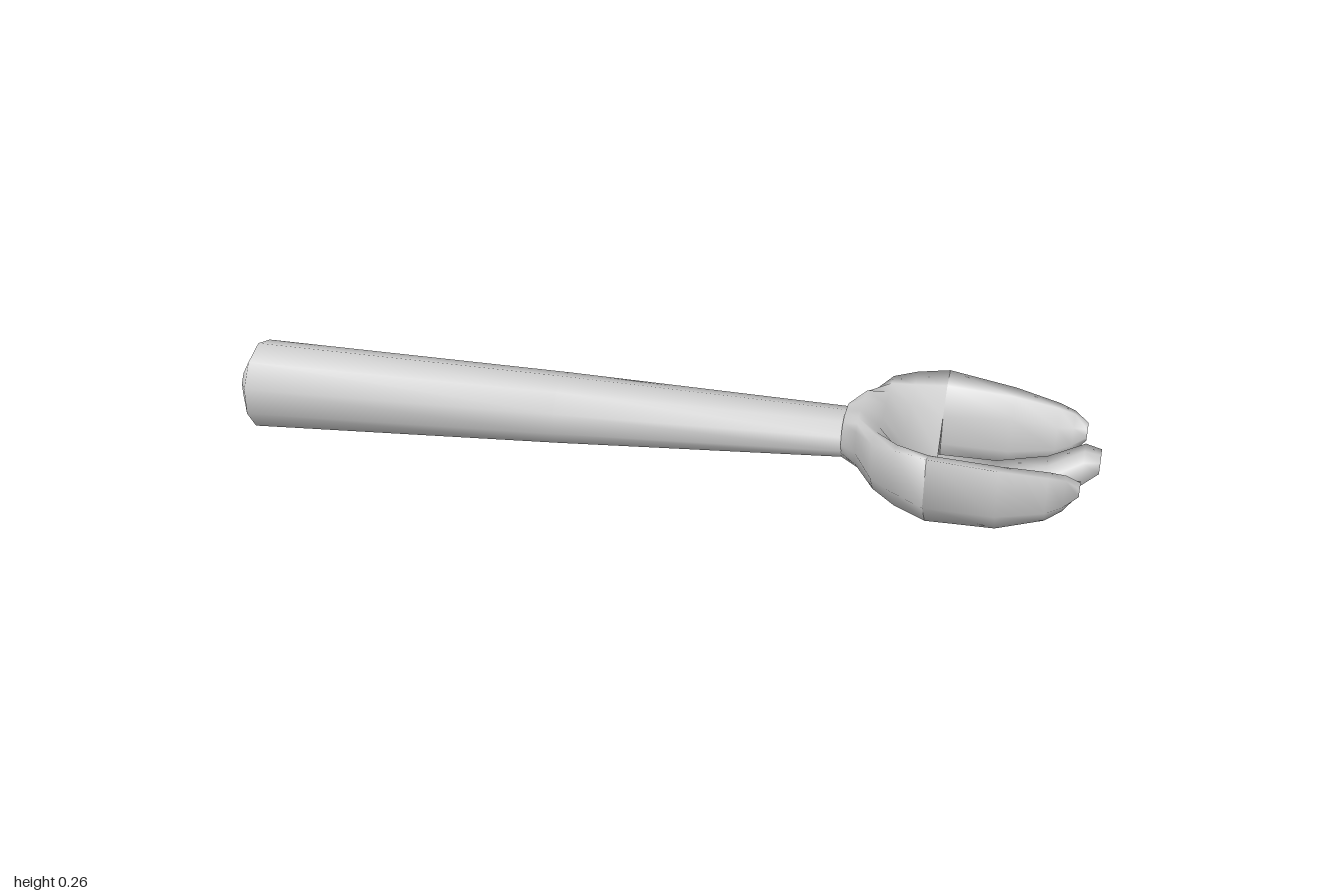
import * as THREE from 'three';

const material = new THREE.MeshStandardMaterial({ color: 0xcccccc, side: THREE.DoubleSide });

// Skin a row of [x, loop] sections; each loop is a list of [z, y] points.
function loft(name, sections, capStart, capEnd) {
  const positions = [], index = [];
  const n = sections[0][1].length;
  const addLoop = ([x, loop]) => {
    const base = positions.length / 3;
    loop.forEach(([z, y]) => positions.push(x, y, z));
    return base;
  };
  sections.forEach(addLoop);
  for (let i = 0; i < sections.length - 1; i++) {
    for (let j = 0; j < n; j++) {
      const k = (j + 1) % n, a = i * n, c = a + n;
      index.push(a + j, c + j, a + k, a + k, c + j, c + k);
    }
  }
  // Flat end caps with their own vertices
  const cap = (section, facing) => {
    const base = addLoop(section);
    const pts = section[1].map(([z, y]) => new THREE.Vector2(z, y));
    for (const [a, b, c] of THREE.ShapeUtils.triangulateShape(pts, [])) {
      const area = (pts[b].x - pts[a].x) * (pts[c].y - pts[a].y) - (pts[b].y - pts[a].y) * (pts[c].x - pts[a].x);
      // counter-clockwise in (z, y) faces -x
      if ((area > 0) === (facing < 0)) index.push(base + a, base + b, base + c);
      else index.push(base + a, base + c, base + b);
    }
  };
  if (capStart) cap(sections[0], -1);
  if (capEnd) cap(sections[sections.length - 1], 1);
  const geometry = new THREE.BufferGeometry();
  geometry.setAttribute('position', new THREE.Float32BufferAttribute(positions, 3));
  geometry.setIndex(index);
  geometry.computeVertexNormals();
  const mesh = new THREE.Mesh(geometry, material);
  mesh.name = name;
  return mesh;
}

// Ten-sided ring with a corner at the bottom
function ring(bottom, top, halfWidth) {
  return Array.from({ length: 10 }, (_, i) => {
    const a = (i / 10) * Math.PI * 2;
    return [Math.sin(a) * halfWidth, (bottom + top) / 2 - Math.cos(a) * (top - bottom) / 2];
  });
}

// Complete a half loop that runs from bottom centre to top centre
const mirrorHalf = (half) => [...half, ...half.slice(1, -1).reverse().map(([z, y]) => [-z, y])];

export function createModel() {
  const group = new THREE.Group();
  group.name = 'threeTinedSpoon';

  // Tapering handle with a domed end
  group.add(loft('handle', [
    [-1, ring(0.105, 0.115, 0.005)],
    [-0.985, ring(0.068, 0.152, 0.04)],
    [-0.95, ring(0.004, 0.216, 0.1)],
    [-0.2, ring(0.071, 0.234, 0.083)],
    [0.47, ring(0.135, 0.243, 0.06)],
  ], true, true));

  // Scooped palm: a round neck opening into a deep U
  const palmEnd = [[0, 0.013], [0.07, 0.045], [0.12, 0.063], [0.2, 0.145], [0.2, 0.264],
    [0.155, 0.248], [0.115, 0.19], [0.07, 0.12], [0, 0.1]];
  group.add(loft('palm', [
    [0.45, [[0, 0.134], [0.035, 0.143], [0.055, 0.165], [0.061, 0.19], [0.056, 0.22],
      [0.045, 0.235], [0.03, 0.243], [0.015, 0.245], [0, 0.245]]],
    [0.485, [[0, 0.118], [0.04, 0.126], [0.065, 0.147], [0.082, 0.185], [0.085, 0.24],
      [0.075, 0.255], [0.062, 0.263], [0.03, 0.262], [0, 0.258]]],
    [0.53, [[0, 0.078], [0.05, 0.09], [0.095, 0.11], [0.15, 0.17], [0.155, 0.256],
      [0.115, 0.259], [0.09, 0.25], [0.05, 0.24], [0, 0.235]]],
    [0.58, [[0, 0.045], [0.06, 0.063], [0.11, 0.085], [0.175, 0.158], [0.178, 0.262],
      [0.135, 0.252], [0.1, 0.22], [0.06, 0.185], [0, 0.175]]],
    [0.65, palmEnd],
  ].map(([x, half]) => [x, mirrorHalf(half)]), true, true));

  // Middle tine, keeled below and curling upward
  group.add(loft('middleTine', [
    [0.65, [palmEnd[0], palmEnd[1], palmEnd[7], palmEnd[8]]],
    [0.78, [[0, 0.034], [0.063, 0.067], [0.06, 0.13], [0, 0.125]]],
    [0.89, [[0, 0.08], [0.053, 0.105], [0.05, 0.165], [0, 0.168]]],
    [0.965, [[0, 0.142], [0.041, 0.155], [0.042, 0.212], [0, 0.217]]],
    [1, [[0, 0.178], [0.028, 0.182], [0.03, 0.21], [0, 0.212]]],
  ].map(([x, half]) => [x, mirrorHalf(half)]), false, true));

  // Side tines, curling up and inward
  const sideTine = [
    [0.65, [palmEnd[2], palmEnd[3], palmEnd[4], palmEnd[5], palmEnd[6], [0.117, 0.12]]],
    [0.8, [[0.13, 0.075], [0.181, 0.135], [0.185, 0.249], [0.153, 0.243], [0.125, 0.2], [0.121, 0.12]]],
    [0.9, [[0.124, 0.108], [0.156, 0.145], [0.163, 0.236], [0.138, 0.236], [0.114, 0.2], [0.111, 0.145]]],
    [0.935, [[0.12, 0.135], [0.146, 0.16], [0.151, 0.228], [0.132, 0.23], [0.11, 0.207], [0.107, 0.165]]],
    [0.965, [[0.115, 0.178], [0.132, 0.182], [0.138, 0.205], [0.128, 0.215], [0.11, 0.208], [0.107, 0.19]]],
  ];
  const mirrored = sideTine.map(([x, loop]) => [x, loop.map(([z, y]) => [-z, y]).reverse()]);
  group.add(loft('frontTine', sideTine, false, true));
  group.add(loft('backTine', mirrored, false, true));

  return group;
}
